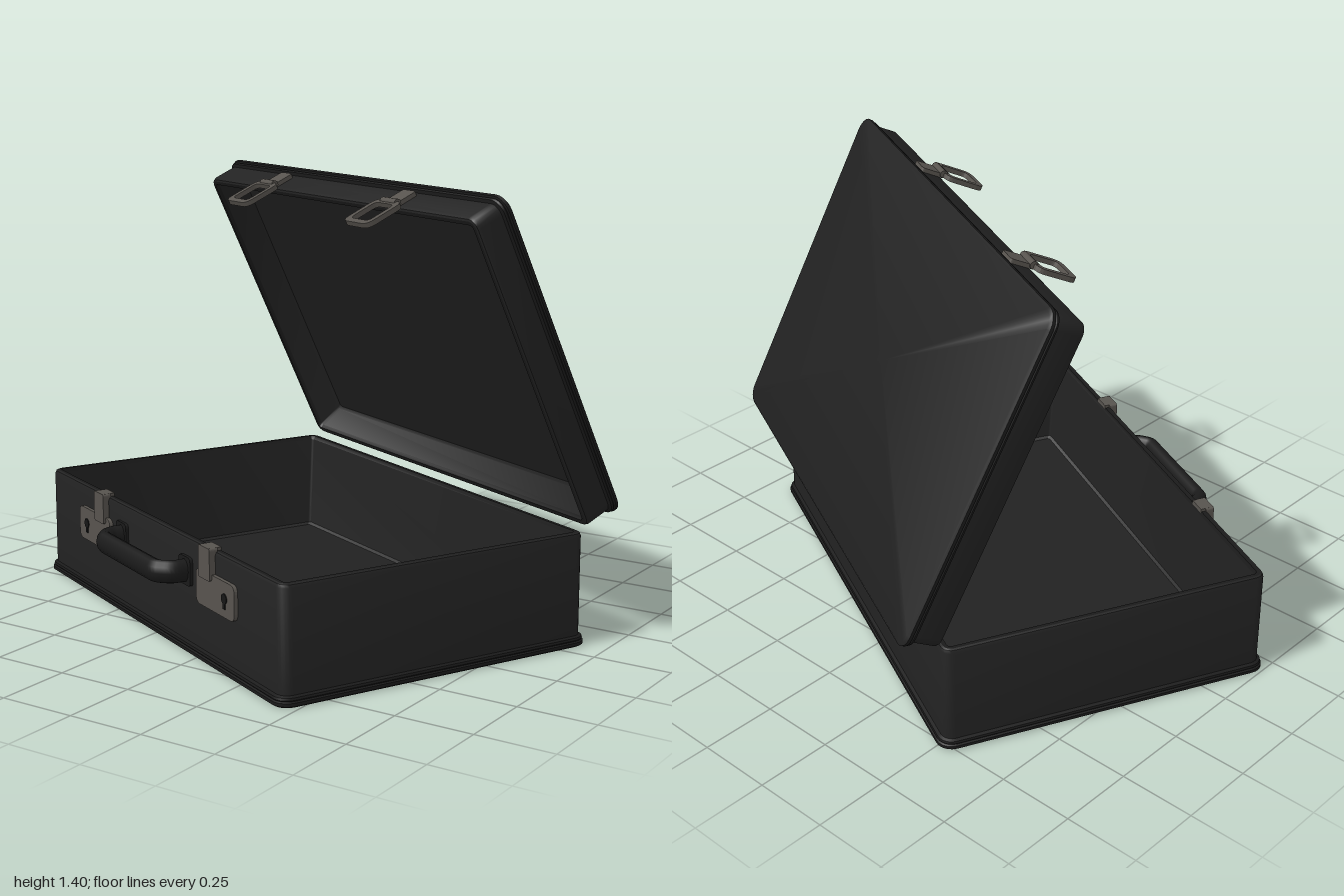
import * as THREE from 'three';
import { toCreasedNormals } from 'three/addons/utils/BufferGeometryUtils.js';

const WIDTH = 1.605, DEPTH = 1.07, CORNER = 0.035, LATCH_X = 0.372;

function material(name, color) {
  const m = new THREE.MeshStandardMaterial({ color });
  m.name = name;
  return m;
}

function add(parent, name, geometry, mat, x = 0, y = 0, z = 0) {
  const mesh = new THREE.Mesh(geometry, mat);
  mesh.name = name;
  mesh.position.set(x, y, z);
  parent.add(mesh);
  return mesh;
}

// One rounded-rectangle loop; outset null collapses it to the centre
function loop([outset, y], steps = 5) {
  const points = [];
  for (let q = 0; q < 4; q++) {
    const sx = q === 0 || q === 3 ? 1 : -1, sz = q < 2 ? 1 : -1;
    for (let i = 0; i <= steps; i++) {
      const t = (q + i / steps) * Math.PI / 2;
      const r = Math.max(CORNER + (outset ?? 0), 0.012);
      const cx = WIDTH / 2 + (outset ?? 0) - r, cz = DEPTH / 2 + (outset ?? 0) - r;
      points.push(outset === null ? [0, y, 0]
        : [sx * cx + Math.cos(t) * r, y, sz * cz + Math.sin(t) * r]);
    }
  }
  return points;
}

// Skin joining successive loops of a [outset, y] profile
function skin(profile) {
  const rings = profile.map(p => loop(p)), out = [];
  for (let i = 0; i + 1 < rings.length; i++) {
    const lo = rings[i], hi = rings[i + 1], n = lo.length;
    for (let j = 0; j < n; j++) {
      const k = (j + 1) % n;
      if (profile[i + 1][0] !== null) out.push(...lo[j], ...hi[j], ...hi[k]);
      else out.push(...lo[j], ...hi[j], ...lo[k]);
      if (profile[i][0] !== null && profile[i + 1][0] !== null) out.push(...lo[j], ...hi[k], ...lo[k]);
    }
  }
  const g = new THREE.BufferGeometry();
  g.setAttribute('position', new THREE.Float32BufferAttribute(out, 3));
  return toCreasedNormals(g, 0.6);
}

// Open tray: panel with a moulded edge, side walls, sloped lining
function tray(name, height, mats) {
  const g = new THREE.Group();
  g.name = name;
  add(g, name + 'Panel', skin([[null, 0], [0.006, 0], [0.015, 0.006]]), mats.shell);
  add(g, name + 'EdgeTrim', skin([[0.015, 0.006], [0.015, 0.016], [0.009, 0.019],
    [0.012, 0.023], [0.01, 0.03], [0, 0.034]]), mats.trim);
  add(g, name + 'Walls', skin([[0, 0.034], [0, height - 0.012], [-0.004, height - 0.003],
    [-0.01, height]]), mats.shell);
  add(g, name + 'Rim', skin([[-0.01, height], [-0.022, height], [-0.027, height - 0.012]]), mats.trim);
  add(g, name + 'Lining', skin([[-0.027, height - 0.012], [-0.06, 0.04], [-0.068, 0.032], [null, 0.032]]), mats.lining);
  return g;
}

function roundedRect(w, h, r, Type = THREE.Shape) {
  const s = new Type(), x = w / 2, y = h / 2;
  s.moveTo(-x + r, -y);
  s.lineTo(x - r, -y); s.quadraticCurveTo(x, -y, x, -y + r);
  s.lineTo(x, y - r); s.quadraticCurveTo(x, y, x - r, y);
  s.lineTo(-x + r, y); s.quadraticCurveTo(-x, y, -x, y - r);
  s.lineTo(-x, -y + r); s.quadraticCurveTo(-x, -y, -x + r, -y);
  return s;
}

function plate(w, h, r, depth, hole) {
  const s = roundedRect(w, h, r);
  if (hole) s.holes.push(roundedRect(w - hole * 2, h - hole * 2, r * 0.6, THREE.Path));
  return new THREE.ExtrudeGeometry(s, { depth, bevelEnabled: false, curveSegments: 5 });
}

export function createModel() {
  const mats = {
    shell: material('blackLeather', 0x222222),
    trim: material('darkTrim', 0x1a1a1a),
    lining: material('blackLining', 0x212121),
    metal: material('agedMetal', 0x57534e),
    dark: material('keyholeBlack', 0x161616),
  };
  const model = new THREE.Group();
  model.name = 'openBriefcase';
  const body = new THREE.Group();
  body.name = 'briefcase';
  body.position.set(-0.035, 0, 0.055);
  body.rotation.y = THREE.MathUtils.degToRad(-25.3);
  model.add(body);

  // Lower half
  body.add(tray('base', 0.36, mats));

  // Lid, hinged at the back and propped open
  const lid = new THREE.Group();
  lid.name = 'lid';
  lid.position.set(0, 0.37, -0.55);
  lid.rotation.x = THREE.MathUtils.degToRad(-65);
  body.add(lid);
  const lidTray = tray('lid', 0.125, mats);
  lidTray.rotation.z = Math.PI;
  lidTray.position.set(0, 0.125, DEPTH / 2);
  lid.add(lidTray);

  // Latches: lock plate and catch on the base, hasp and loop on the lid
  const front = DEPTH / 2;
  for (const side of [-1, 1]) {
    const lock = new THREE.Group();
    lock.name = side > 0 ? 'leftLock' : 'rightLock';
    body.add(lock);
    add(lock, 'lockPlate', plate(0.24, 0.11, 0.025, 0.012), mats.metal, side * 0.425, 0.235, front);
    add(lock, 'catch', plate(0.072, 0.1, 0.008, 0.028), mats.metal, side * LATCH_X, 0.32, front - 0.008);
    add(lock, 'catchHook', new THREE.BoxGeometry(0.06, 0.014, 0.045), mats.metal,
      side * LATCH_X, 0.363, front - 0.002);
    const keyhole = new THREE.CylinderGeometry(0.016, 0.016, 0.006, 16).rotateX(Math.PI / 2);
    add(lock, 'keyhole', keyhole, mats.dark, side * 0.485, 0.238, front + 0.012);
    add(lock, 'keySlot', new THREE.BoxGeometry(0.014, 0.03, 0.006), mats.dark, side * 0.485, 0.222, front + 0.012);

    const hasp = new THREE.Group();
    hasp.name = side > 0 ? 'leftHasp' : 'rightHasp';
    hasp.position.set(side * LATCH_X, 0, DEPTH);
    lid.add(hasp);
    add(hasp, 'haspPlate', plate(0.07, 0.085, 0.01, 0.014), mats.metal, 0, 0.038, 0);
    const knuckle = new THREE.CylinderGeometry(0.013, 0.013, 0.08, 12).rotateZ(Math.PI / 2);
    add(hasp, 'haspKnuckle', knuckle, mats.metal, 0, 0.004, 0.014);
    add(hasp, 'haspLoop', plate(0.14, 0.14, 0.03, 0.016, 0.02), mats.metal, 0, -0.066, 0.004);
  }

  // Carrying handle with bevelled corners
  const path = new THREE.CurvePath();
  const pts = [[-0.225, 0.52], [-0.225, 0.585], [-0.19, 0.622], [0.19, 0.622], [0.225, 0.585], [0.225, 0.52]]
    .map(([x, z]) => new THREE.Vector3(x, 0, z));
  const mid = (a, b, t) => a.clone().lerp(b, t);
  for (let i = 0; i + 1 < pts.length; i++) {
    const a = i ? mid(pts[i], pts[i + 1], i === 2 ? 0.05 : 0.3) : pts[0];
    const b = i < 4 ? mid(pts[i], pts[i + 1], i === 2 ? 0.95 : 0.7) : pts[5];
    path.add(new THREE.LineCurve3(a, b));
    if (i < 4) path.add(new THREE.QuadraticBezierCurve3(b, pts[i + 1],
      mid(pts[i + 1], pts[i + 2], i + 1 === 2 ? 0.05 : 0.3)));
  }
  const grip = new THREE.TubeGeometry(path, 80, 0.027, 12, false).scale(1, 1.35, 1);
  add(body, 'handle', grip, mats.trim, 0, 0.258, 0);
  for (const side of [-1, 1])
    add(body, 'handleMount', plate(0.075, 0.09, 0.015, 0.01), mats.trim, side * 0.225, 0.258, front);

  return model;
}
